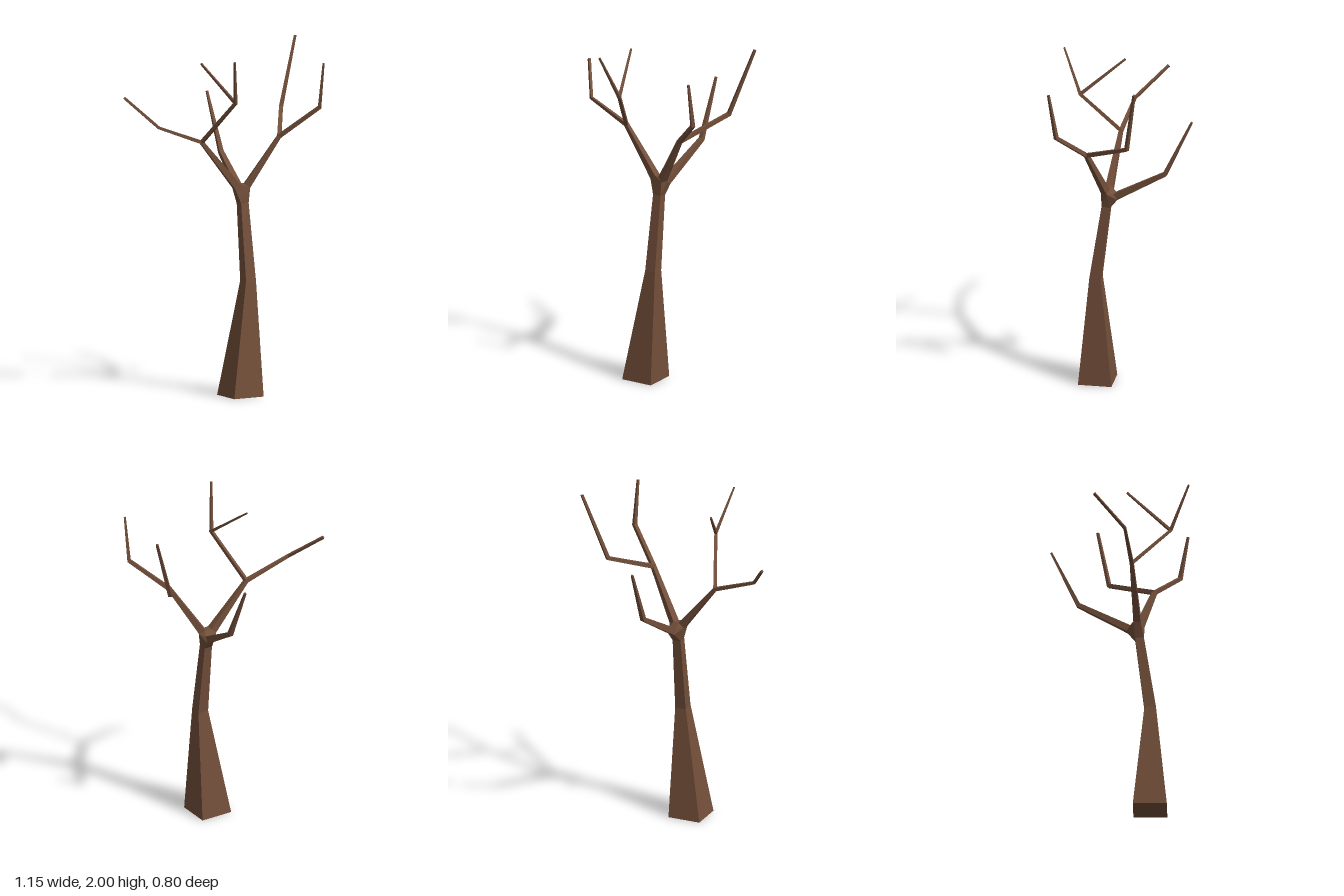
import * as THREE from 'three';
import { ConvexGeometry } from 'three/addons/geometries/ConvexGeometry.js';

const UP = new THREE.Vector3(0, 1, 0);

// Square cross-sections along a path of [x, y, z, halfWidth] points
function sections(path, side, firstDir) {
  const pts = path.map(p => new THREE.Vector3(p[0], p[1], p[2]));
  const dirs = pts.slice(1).map((p, i) => p.clone().sub(pts[i]).normalize());
  let u = side;
  return pts.map((p, i) => {
    const t = new THREE.Vector3();
    if (i === 0) t.copy(firstDir || dirs[0]);
    else t.copy(dirs[i - 1]).add(dirs[Math.min(i, dirs.length - 1)]).normalize();
    u = (u || UP.clone().cross(t)).clone();
    u.addScaledVector(t, -u.dot(t)).normalize();
    const v = t.clone().cross(u);
    const r = path[i][3];
    return [[1, 1], [-1, 1], [-1, -1], [1, -1]].map(([a, b]) =>
      p.clone().addScaledVector(u, a * r).addScaledVector(v, b * r));
  });
}

// Skin the sections with flat quads and cap both ends
function skin(loops) {
  const pos = [];
  const quad = (a, b, c, d) => [a, b, c, a, c, d].forEach(p => pos.push(p.x, p.y, p.z));
  for (let k = 0; k < loops.length - 1; k++) {
    for (let i = 0; i < 4; i++) {
      const j = (i + 1) % 4;
      quad(loops[k][i], loops[k][j], loops[k + 1][j], loops[k + 1][i]);
    }
  }
  quad(...[...loops[0]].reverse());
  quad(...loops[loops.length - 1]);
  const g = new THREE.BufferGeometry();
  g.setAttribute('position', new THREE.Float32BufferAttribute(pos, 3));
  g.computeVertexNormals();
  return g;
}

export function createModel() {
  const group = new THREE.Group();
  const bark = new THREE.MeshStandardMaterial({ color: 0x734f3a, flatShading: true });
  bark.name = 'brown bark';

  const add = (name, geometry) => {
    const mesh = new THREE.Mesh(geometry, bark);
    mesh.name = name;
    group.add(mesh);
  };
  const limb = (name, path, side, firstDir) => {
    const loops = sections(path, side, firstDir);
    add(name, skin(loops));
    return loops;
  };

  // Tapered trunk with a square foot
  const trunk = limb('trunk', [
    [0.022, 0, 0.171, 0.097], [0.073, 0.66, 0.171, 0.033], [0.073, 1.1, 0.11, 0.025],
  ], new THREE.Vector3(1, 0, 0), UP);

  // Three main branches, each running out to a tip
  const right = limb('rightBranch', [
    [0.038, 1.2, 0.098, 0.021], [-0.175, 1.465, 0.07, 0.011],
    [-0.437, 1.565, 0.035, 0.008], [-0.565, 1.725, -0.138, 0.007],
  ]);
  const left = limb('leftBranch', [
    [0.1, 1.2, 0.112, 0.02], [0.267, 1.483, 0.192, 0.012],
    [0.45, 1.655, 0.335, 0.011], [0.45, 1.915, 0.38, 0.006],
  ]);
  const back = limb('backBranch', [
    [0.086, 1.17, 0.05, 0.02], [0.134, 1.345, -0.24, 0.013], [0.132, 1.675, -0.395, 0.006],
  ]);

  // Crown block joining the trunk to the branches
  add('fork', new ConvexGeometry([...trunk[2], ...right[0], ...left[0], ...back[0]]));

  // Side twigs
  limb('leftTwig', [
    [0.267, 1.483, 0.192, 0.012], [0.432, 1.605, -0.07, 0.011], [0.565, 1.998, -0.137, 0.007],
  ]);
  limb('rightTwig', [
    [-0.175, 1.465, 0.07, 0.01], [-0.08, 1.713, 0.29, 0.009], [-0.147, 1.968, 0.395, 0.005],
  ]);
  limb('rightTwigOffshoot', [[-0.08, 1.713, 0.29, 0.008], [-0.162, 1.915, 0.042, 0.005]]);

  return group;
}
